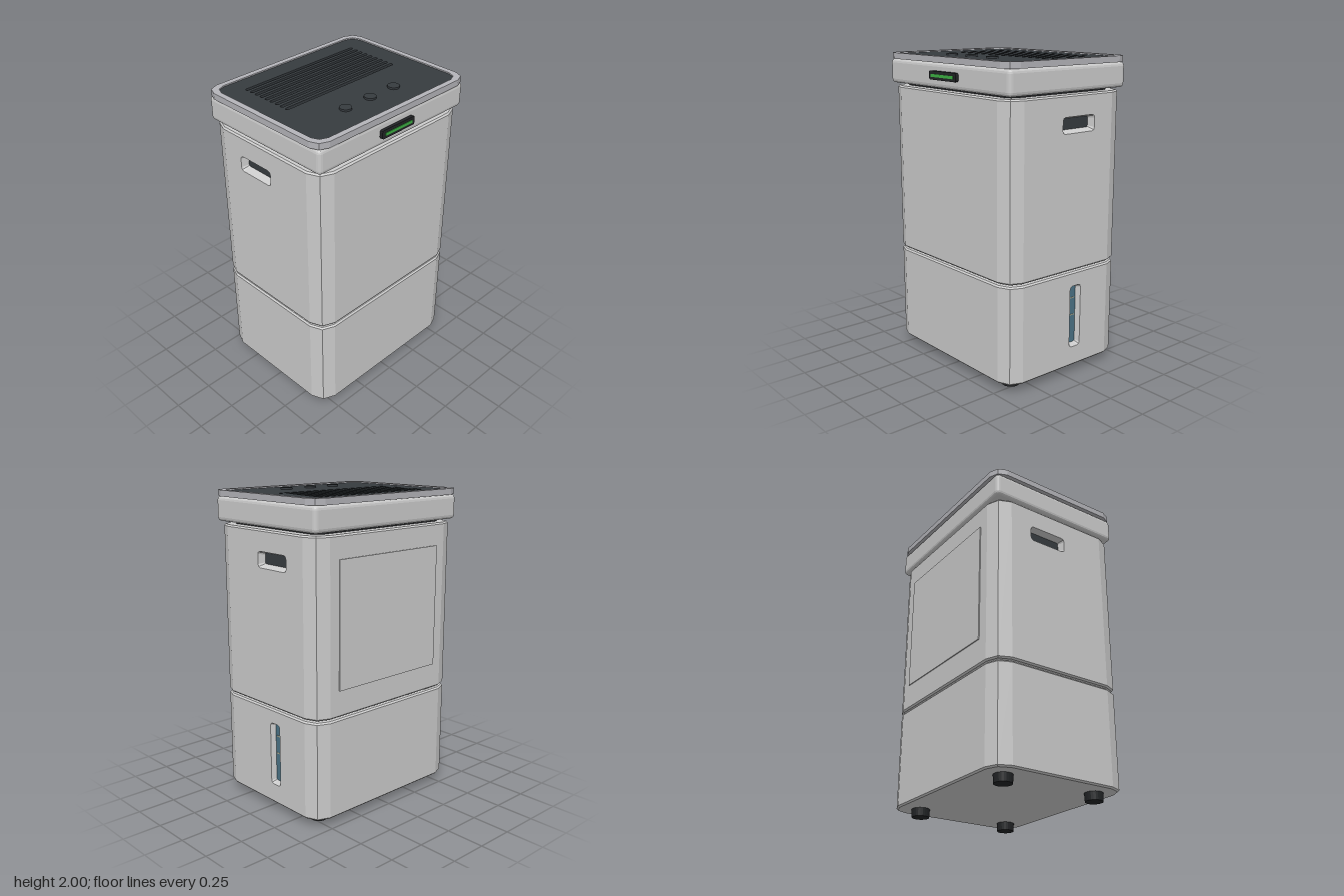
import * as THREE from 'three';
import { RoundedBoxGeometry } from 'three/addons/geometries/RoundedBoxGeometry.js';

const mat = (color) => new THREE.MeshStandardMaterial({ color, flatShading: true });
const grey = mat(0xcccccc), trim = mat(0xb4b4b9), dark = mat(0x363b3f), black = mat(0x222426);
const blue = mat(0x4b7285), tan = mat(0xa8a890), green = mat(0x3cb043);

const HW = 0.6, HD = 0.468, R = 0.11, ZC = -0.008; // half width, half depth, corner radius, depth centre

// Rounded rectangle as a counter-clockwise point list, two facets per corner
function rounded(w, h, r, cx = 0, cy = 0, seg = 2) {
  const pts = [];
  for (let k = 0; k < 4; k++) {
    const sx = k === 0 || k === 3 ? 1 : -1, sy = k < 2 ? 1 : -1;
    for (let j = 0; j <= seg; j++) {
      const t = (k + j / seg) * Math.PI / 2;
      pts.push(new THREE.Vector2(cx + sx * (w / 2 - r) + r * Math.cos(t), cy + sy * (h / 2 - r) + r * Math.sin(t)));
    }
  }
  return pts;
}

// Skin a list of [outline, height] rings; skip names outline edges left open, caps close the ends
function loft(rings, { skip = [], start = false, end = false } = {}) {
  const v = [], n = rings[0][0].length;
  const put = (k, i) => { const p = rings[k][0][i % n]; v.push(p.x, p.y, rings[k][1]); };
  for (let k = 0; k + 1 < rings.length; k++) for (let i = 0; i < n; i++) {
    if (skip.includes(i)) continue;
    put(k, i); put(k, i + 1); put(k + 1, i + 1);
    put(k, i); put(k + 1, i + 1); put(k + 1, i);
  }
  const last = rings.length - 1;
  for (let i = 1; i < n - 1; i++) {
    if (start) { put(0, 0); put(0, i + 1); put(0, i); }
    if (end) { put(last, 0); put(last, i); put(last, i + 1); }
  }
  const g = new THREE.BufferGeometry();
  g.setAttribute('position', new THREE.Float32BufferAttribute(v, 3));
  g.computeVertexNormals();
  return g;
}

function shapeOf(pts, holes = []) {
  const s = new THREE.Shape(pts);
  s.holes = holes.map((h) => new THREE.Path(h));
  return s;
}

function add(parent, name, geometry, material, x = 0, y = 0, z = 0) {
  const m = new THREE.Mesh(geometry, material);
  m.name = name;
  m.position.set(x, y, z);
  parent.add(m);
  return m;
}

// Horizontal plate from an outline, lying between y0 and y1
function plate(parent, name, pts, y0, y1, material, holes) {
  const g = new THREE.ExtrudeGeometry(shapeOf(pts, holes), { depth: y1 - y0, bevelEnabled: false });
  return add(parent, name, g.rotateX(-Math.PI / 2), material, 0, y0, ZC);
}

// Case section with softened rims; its two side walls may carry a recess
function section(parent, name, y0, y1, recesses) {
  const g = new THREE.Group(), b = 0.01;
  g.name = name;
  parent.add(g);
  const full = rounded(2 * HW, 2 * HD, R), inset = rounded(2 * (HW - b), 2 * (HD - b), R - b);
  const up = (geo, part) => add(g, part, geo.rotateX(-Math.PI / 2), grey, 0, 0, ZC);
  up(loft([[inset, y0], [full, y0 + b]], { start: true }), name + 'BottomRim');
  up(loft([[full, y0 + b], [full, y1 - b]], { skip: [5, 11] }), name + 'Shell');
  up(loft([[full, y1 - b], [inset, y1]], { end: true }), name + 'TopRim');
  for (const s of [1, -1]) {
    const side = new THREE.Group();
    side.name = name + (s > 0 ? 'LeftWall' : 'RightWall');
    side.position.set(s * HW, 0, ZC);
    side.rotation.y = s * Math.PI / 2;
    g.add(side);
    const d = HD - R, lo = y0 + b, hi = y1 - b;
    const wall = [[-d, lo], [d, lo], [d, hi], [-d, hi]].map((p) => new THREE.Vector2(...p));
    const r = recesses[s];
    const hole = r && rounded(r.w, r.h, r.r, s * r.a, r.y);
    add(side, 'wall', new THREE.ShapeGeometry(shapeOf(wall, hole ? [hole] : [])), grey);
    if (!r) continue;
    const floor = rounded(r.w - 0.032, r.h - 0.032, r.r * 0.5, s * r.a, r.y + 0.003);
    add(side, r.name + 'Recess', loft([[hole, 0], [floor, -r.depth]]), grey);
    add(side, r.name + 'Floor', new THREE.ShapeGeometry(shapeOf(floor)), r.mat, 0, 0, -r.depth);
    for (const y of r.marks || [])
      add(side, 'levelMark', new THREE.BoxGeometry(0.04, 0.007, 0.004), tan, s * r.a, y, -r.depth);
  }
}

export function createModel() {
  const model = new THREE.Group();
  model.name = 'dehumidifier';

  // Feet
  for (const x of [-0.457, 0.457]) for (const z of [-0.33, 0.325])
    add(model, 'foot', new THREE.CylinderGeometry(0.058, 0.055, 0.056, 24), black, x, 0.028, z);

  // Water tank with level window, main case with hand grips
  const grip = { name: 'grip', w: 0.264, h: 0.1, r: 0.02, a: 0.077, y: 1.605, depth: 0.045, mat: dark };
  const level = { name: 'levelWindow', w: 0.09, h: 0.41, r: 0.02, a: 0.077, y: 0.385, depth: 0.03, mat: blue, marks: [0.385, 0.5] };
  section(model, 'tank', 0.052, 0.682, { 1: level });
  section(model, 'case', 0.694, 1.786, { 1: grip, '-1': grip });

  // Recessed joints between the sections
  plate(model, 'lowerJoint', rounded(1.0, 0.74, 0.05), 0.67, 0.7, grey);
  plate(model, 'upperJoint', rounded(1.06, 0.8, 0.05), 1.78, 1.81, black);

  // Rear filter cover
  add(model, 'filterCover', new THREE.BoxGeometry(0.84, 0.785, 0.02), grey, 0, 1.252, ZC - HD + 0.003);

  // Head band and top frame
  add(model, 'headBand', new RoundedBoxGeometry(1.204, 0.157, 0.938, 2, 0.026), grey, 0, 1.879, ZC);
  const opening = rounded(1.154, 0.888, 0.067);
  plate(model, 'topFrame', rounded(1.228, 0.96, 0.08), 1.957, 1.996, trim, [opening]);

  // Control panel with outlet slots
  const slots = [];
  for (let i = 0; i < 9; i++) slots.push(rounded(0.886, 0.022, 0.0105, 0, 0.317 - i * 0.0437, 4));
  plate(model, 'slotFloor', opening, 1.957, 1.968, dark);
  plate(model, 'topPanel', opening, 1.968, 1.988, dark, slots);
  for (const x of [-0.2, 0, 0.2])
    add(model, 'button', new THREE.CylinderGeometry(0.037, 0.037, 0.014, 32), dark, x, 1.993, 0.255);

  // Front display
  const bezel = new THREE.ExtrudeGeometry(shapeOf(rounded(0.272, 0.054, 0.012)), { depth: 0.025, bevelEnabled: false });
  add(model, 'displayBezel', bezel, black, 0, 1.88, 0.457);
  add(model, 'displayLight', new THREE.BoxGeometry(0.225, 0.018, 0.01), green, 0, 1.879, 0.481);
  return model;
}
